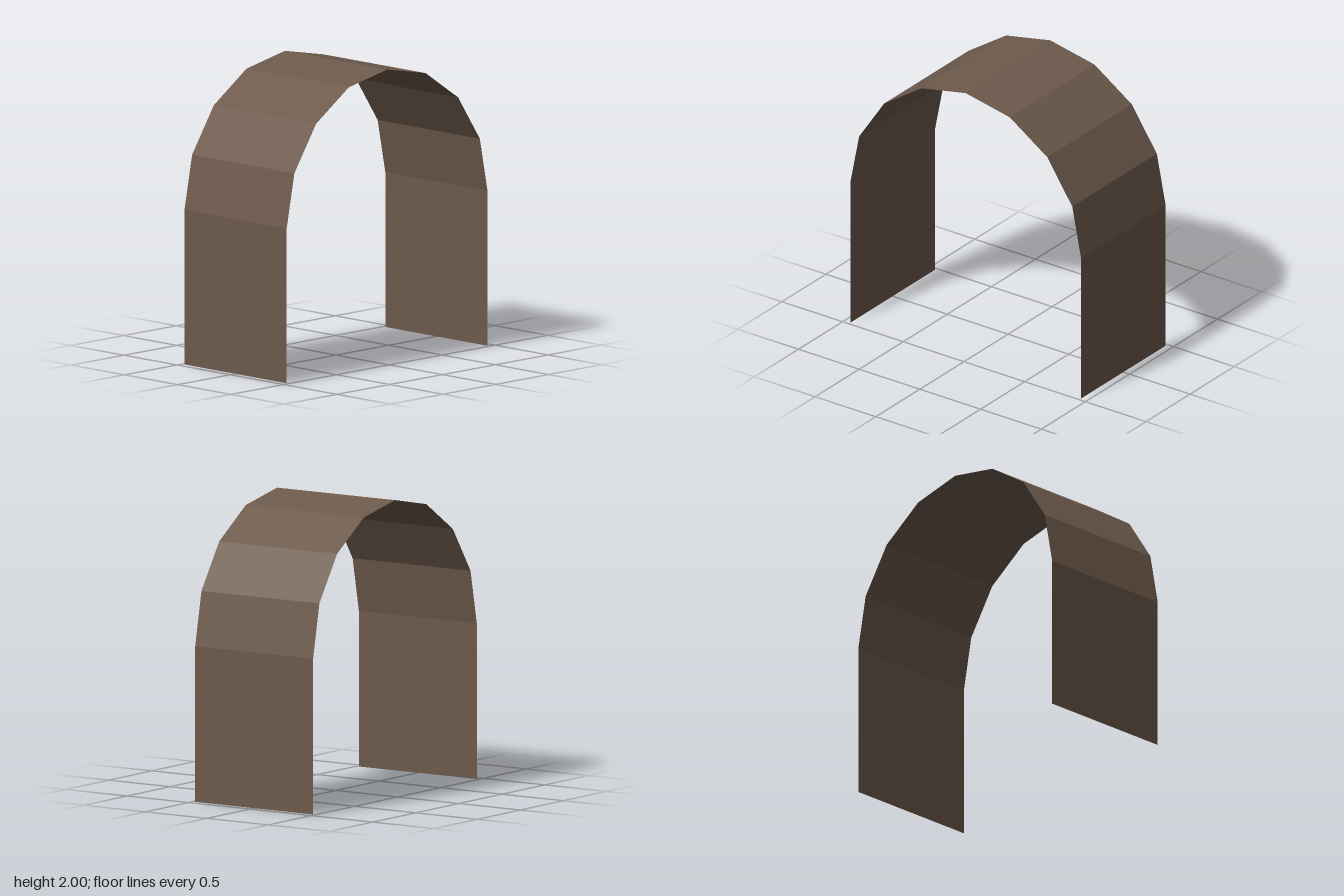
import * as THREE from 'three';

const RADIUS = 0.95, SPRING = 1.05, DEPTH = 0.96, ARC_STEPS = 8;

export function createModel() {
  const group = new THREE.Group();
  group.name = 'arch';

  const brown = new THREE.MeshStandardMaterial({
    name: 'brown', color: 0x6d5a4c, flatShading: true, side: THREE.DoubleSide,
  });

  // Profile: left leg, half-round vault, right leg
  const profile = [[-RADIUS, 0]];
  for (let i = 0; i <= ARC_STEPS; i++) {
    const a = Math.PI * (1 - i / ARC_STEPS);
    profile.push([RADIUS * Math.cos(a), SPRING + RADIUS * Math.sin(a)]);
  }
  profile.push([RADIUS, 0]);

  // Bend a flat sheet along the profile
  const columns = profile.length;
  const sheet = new THREE.PlaneGeometry(1, DEPTH, columns - 1, 1);
  const pos = sheet.attributes.position;
  for (let i = 0; i < pos.count; i++) {
    const [x, y] = profile[i % columns];
    pos.setXYZ(i, x, y, -pos.getY(i));
  }
  const geometry = sheet.toNonIndexed();
  geometry.computeVertexNormals();

  const vault = new THREE.Mesh(geometry, brown);
  vault.name = 'vaultSheet';
  group.add(vault);
  return group;
}
